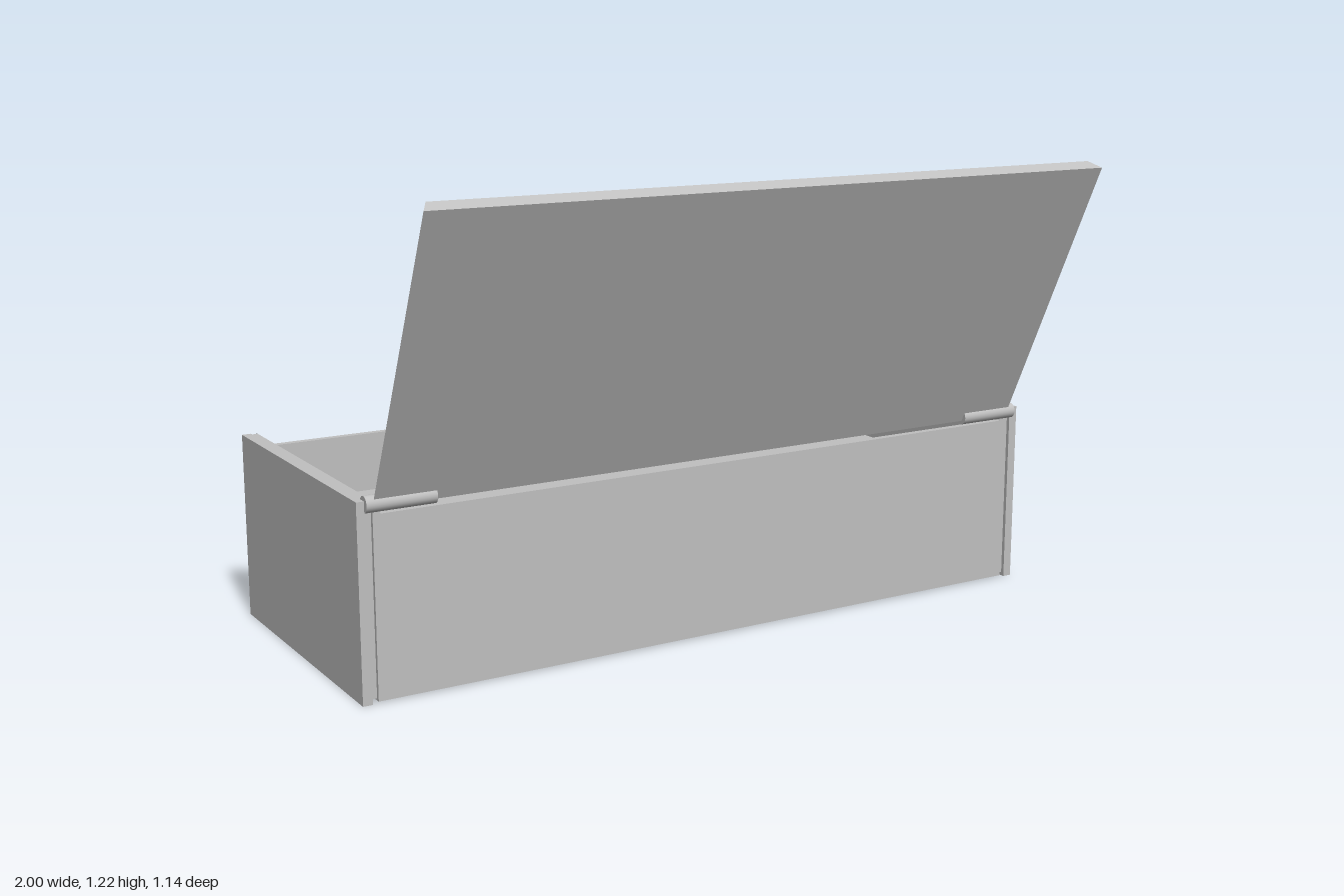
import * as THREE from 'three';

export function createModel() {
  const model = new THREE.Group();
  const grey = new THREE.MeshStandardMaterial({ color: 0xc0c0c0 });
  grey.name = 'plain grey';

  const BACK = -0.57, FRONT = 0.23, MID = (BACK + FRONT) / 2, DEPTH = FRONT - BACK;
  const RIM = 0.465, FLOOR = 0.305;

  const add = (name, geometry, x = 0, y = 0, z = 0) => {
    const mesh = new THREE.Mesh(geometry, grey);
    mesh.name = name;
    mesh.position.set(x, y, z);
    model.add(mesh);
    return mesh;
  };
  const polygon = (points) => new THREE.Shape(points.map(([x, y]) => new THREE.Vector2(x, y)));
  const rect = (w, d) => [[-w, -d], [w, -d], [w, d], [-w, d]];
  const extrude = (shape, depth) => new THREE.ExtrudeGeometry(shape, { depth, bevelEnabled: false, curveSegments: 1 });

  // Solid lower body with a shallow tray walled in above it
  add('base', new THREE.BoxGeometry(1.92, FLOOR - 0.005, DEPTH), 0, (FLOOR + 0.005) / 2, MID);
  const wallShape = polygon(rect(0.96, DEPTH / 2));
  wallShape.holes.push(polygon(rect(0.92, DEPTH / 2 - 0.02)));
  const walls = add('trayWalls', extrude(wallShape, RIM - FLOOR), 0, FLOOR, MID);
  walls.rotation.x = -Math.PI / 2;

  for (const [side, s] of [['left', 1], ['right', -1]]) {
    // End panel, held off the body by a recessed spacer that forms a groove
    add(side + 'EndPanel', new THREE.BoxGeometry(0.025, 0.5, DEPTH), s * 0.9875, 0.25, MID);
    add(side + 'Spacer', new THREE.BoxGeometry(0.015, 0.49, DEPTH - 0.02), s * 0.9675, 0.255, MID);

    // Sloped ledge that the bevelled lid closes against
    const ledge = polygon([[s * 0.94, RIM], [s * 0.96, RIM], [s * 0.96, 0.5]]);
    add(side + 'Ledge', extrude(ledge, DEPTH), 0, 0, BACK);

    // Hinge barrel along the front edge
    const hinge = add(side + 'Hinge', new THREE.CylinderGeometry(0.021, 0.021, 0.18, 24), s * 0.89, 0.491, 0.225);
    hinge.rotation.z = Math.PI / 2;
  }

  // Open lid with bevelled ends, wider on its outer face
  const lidShape = polygon([[-0.96, 0], [0.96, 0], [0.94, 0.037], [-0.94, 0.037]]);
  const lid = add('lid', extrude(lidShape, 0.8), 0, 0.481, 0.23);
  lid.rotation.x = -1.132;

  return model;
}
